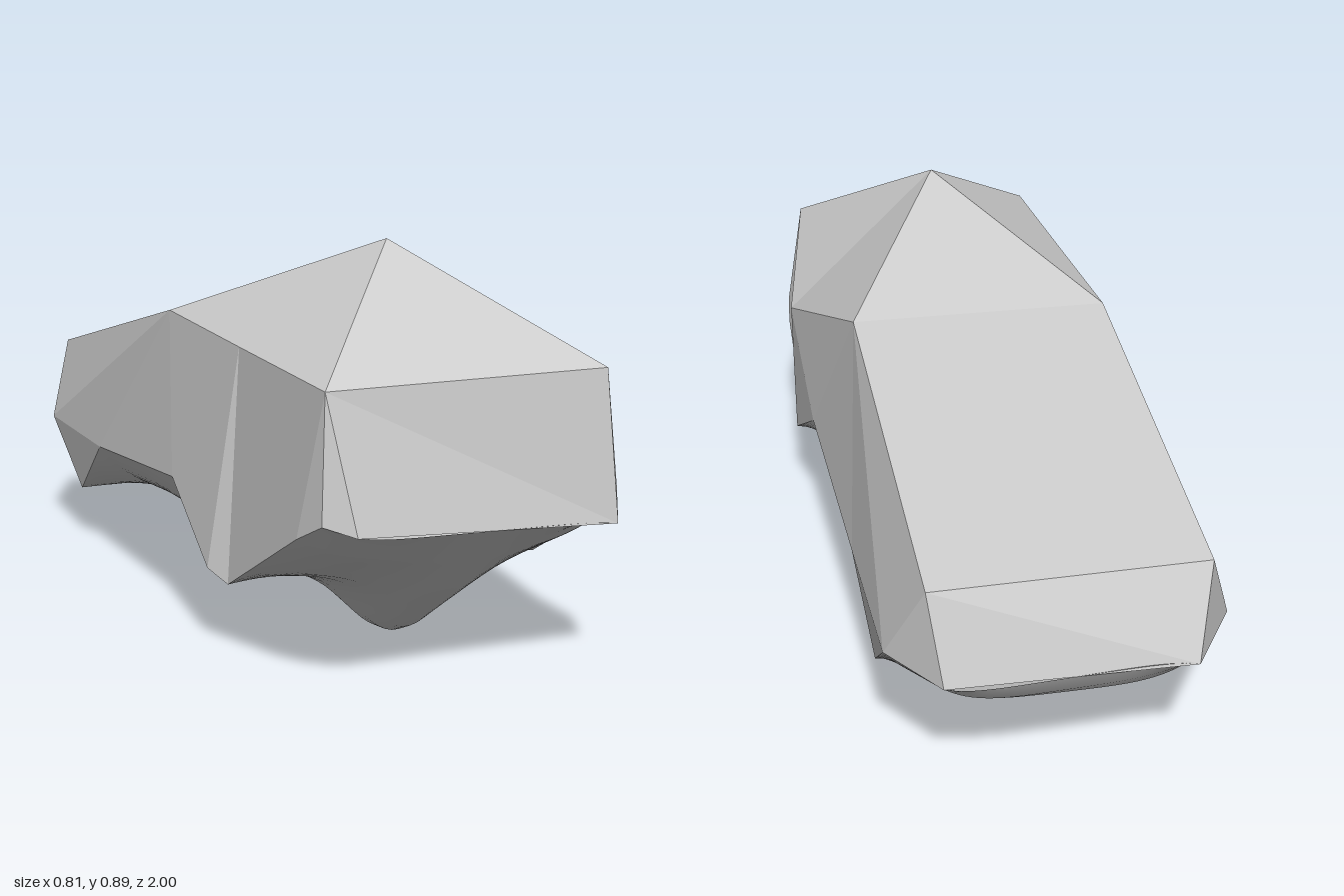
import * as THREE from 'three';

// Lower rim, front to back (x, y, z): the middle is mirrored, nose and tail corners differ
const RIM_MIDDLE = [
  [0.38, 0.155, 0.55], [0.405, 0.18, 0.49], [0.39, 0.33, 0.22],
  [0.38, 0.29, -0.38], [0.365, 0.135, -0.6], [0.38, 0.3, -0.82],
];
const RIM_LEFT = [[0.33, 0.32, 0.98], [0.37, 0.38, 0.91], [0.375, 0.33, 0.87], ...RIM_MIDDLE, [0.28, 0.3, -0.98]];
const RIM_RIGHT = [[-0.28, 0.35, 1], [-0.34, 0.37, 0.96], [-0.36, 0.33, 0.88],
  ...RIM_MIDDLE.map(([x, y, z]) => [-x, y, z]), [-0.26, 0.3, -1]];
// Keel line: z, height
const KEEL = [
  [0.99, 0.335], [0.88, 0.24], [0.78, 0.155], [0.68, 0.08], [0.6, 0.025], [0.55, 0.005], [0.5, 0], [0.43, 0.012],
  [0.25, 0.045], [0, 0.065], [-0.12, 0.075], [-0.38, 0.13], [-0.6, 0.137], [-0.68, 0.137], [-0.95, 0.23], [-0.99, 0.3],
];
// Floor either side of the keel: z, height
const FLOOR = [
  [0.99, 0.335], [0.88, 0.265], [0.7, 0.19], [0.5, 0.16], [0.2, 0.175], [-0.1, 0.18],
  [-0.38, 0.16], [-0.6, 0.137], [-0.68, 0.14], [-0.95, 0.23], [-0.99, 0.3],
];

function sample(table, z) {
  let i = 0;
  while (i < table.length - 2 && z < table[i + 1][0]) i++;
  const [a, b] = [table[i], table[i + 1]];
  return THREE.MathUtils.lerp(a[1], b[1], (a[0] - z) / (a[0] - b[0]));
}

const mix = (a, b, t) => a.map((v, i) => THREE.MathUtils.lerp(v, b[i], t));
const material = (flatShading) => new THREE.MeshStandardMaterial({ color: 0xcccccc, flatShading, side: THREE.DoubleSide });

// Faceted upper body
function makeShell() {
  const pos = [];
  const tri = (flip, a, b, c) => pos.push(...a, ...(flip ? c : b), ...(flip ? b : c));
  const peak = [0.02, 0.89, 0.5];
  const L = {
    front: [0.32, 0.645, 0.94], shoulder: [0.405, 0.53, 0.5], roof: [0.31, 0.705, -0.02],
    tail: [0.305, 0.5, -0.92], rim: RIM_LEFT, flip: false,
  };
  const R = {
    front: [-0.325, 0.635, 0.94], shoulder: [-0.32, 0.662, 0.47], roof: [-0.315, 0.69, 0],
    tail: [-0.305, 0.5, -0.92], rim: RIM_RIGHT, flip: true,
  };

  for (const { front, shoulder, roof, tail, rim: r, flip: f } of [L, R]) {
    // Nose corner and front wheel bulge
    for (let i = 0; i < 3; i++) tri(f, front, r[i], r[i + 1]);
    tri(f, front, r[3], shoulder);
    for (let i = 3; i < 5; i++) tri(f, shoulder, r[i], r[i + 1]);
    tri(f, shoulder, r[5], roof);
    // Rear flank, rear wheel wedge and tail corner
    tri(f, roof, r[5], r[6]);
    tri(f, roof, r[6], r[8]);
    tri(f, r[6], r[7], r[8]);
    tri(f, roof, r[8], tail);
    tri(f, tail, r[8], r[9]);
    // Roof facets meeting at the peak
    tri(f, peak, front, shoulder);
    tri(f, peak, shoulder, roof);
  }
  const quad = (a, b, c, d) => { tri(false, a, b, c); tri(false, a, c, d); };
  tri(false, peak, R.front, L.front);
  tri(false, peak, L.roof, R.roof);
  quad(R.roof, L.roof, L.tail, R.tail);
  quad(R.front, R.rim[0], L.rim[0], L.front);
  quad(L.tail, L.rim[9], R.rim[9], R.tail);

  const g = new THREE.BufferGeometry();
  g.setAttribute('position', new THREE.Float32BufferAttribute(pos, 3));
  g.computeVertexNormals();
  return g;
}

// Smooth underside: each cross-section falls from the rim to a floor, then to the keel
function makeUnderside() {
  const pos = [], index = [], cols = 44, steps = 6;
  const rows = (RIM_LEFT.length - 1) * steps;
  for (let i = 0; i <= rows; i++) {
    const s = Math.min(Math.floor(i / steps), RIM_LEFT.length - 2);
    const k = i / steps - s;
    const left = mix(RIM_LEFT[s], RIM_LEFT[s + 1], k);
    const right = mix(RIM_RIGHT[s], RIM_RIGHT[s + 1], k);
    for (let c = 0; c <= cols; c++) {
      const t = -1 + (2 * c) / cols;
      const [x, edge, z] = mix(right, left, c / cols);
      const keel = sample(KEEL, z), floor = sample(FLOOR, z);
      const dip = (keel - floor) * Math.exp(-(((x - 0.025) / 0.14) ** 2)) * (1 - t ** 4);
      pos.push(x, floor + dip + (edge - floor) * t ** 4, z);
    }
  }
  for (let i = 0; i < rows; i++) {
    for (let c = 0; c < cols; c++) {
      const a = i * (cols + 1) + c, b = a + cols + 1;
      index.push(a, b, a + 1, a + 1, b, b + 1);
    }
  }
  const g = new THREE.BufferGeometry();
  g.setAttribute('position', new THREE.Float32BufferAttribute(pos, 3));
  g.setIndex(index);
  g.computeVertexNormals();
  return g;
}

export function createModel() {
  const group = new THREE.Group();
  group.name = 'carBody';
  const shell = new THREE.Mesh(makeShell(), material(true));
  shell.name = 'upperBody';
  const underside = new THREE.Mesh(makeUnderside(), material(false));
  underside.name = 'underside';
  group.add(shell, underside);
  return group;
}
